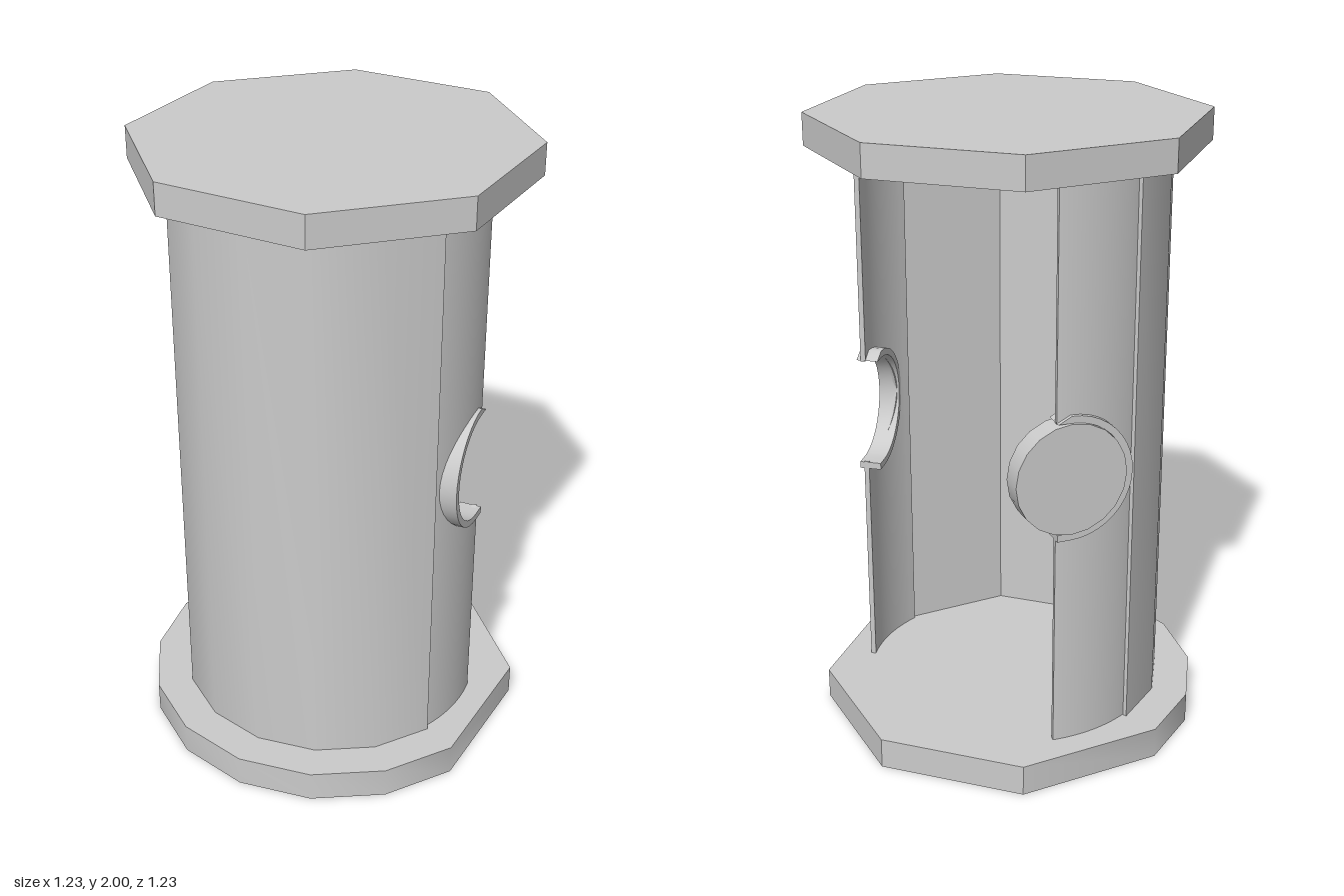
import * as THREE from 'three';
import { toCreasedNormals } from 'three/addons/utils/BufferGeometryUtils.js';

const material = new THREE.MeshStandardMaterial({ color: 0xcccccc, side: THREE.DoubleSide });
const rad = THREE.MathUtils.degToRad;
const polar = (r, deg) => new THREE.Vector2(r * Math.cos(rad(deg)), r * Math.sin(rad(deg)));

function mesh(name, geometry) {
  const m = new THREE.Mesh(geometry, material);
  m.name = name;
  return m;
}

// Upright prism from a ground plan; gentle corners are smooth, strong ones sharp
function prism(name, points, y0, y1) {
  const g = new THREE.ExtrudeGeometry(new THREE.Shape(points), { depth: y1 - y0, bevelEnabled: false });
  g.rotateX(-Math.PI / 2).translate(0, y0, 0);
  return mesh(name, toCreasedNormals(g, 0.6));
}

const DOOR_R = 0.477, HANDLE_ANGLE = rad(62.5), NOTCH_R = 0.18;
const DOOR_BOTTOM = 0.1, DOOR_TOP = 1.88;

// Curved half of a door, above (+1) or below (-1) its round notch
function doorHalf(side) {
  const x0 = -0.245, x1 = 0.042;
  const g = new THREE.BoxGeometry(x1 - x0, 1, 0.016, 24, 1, 1).translate((x0 + x1) / 2, 0, 0);
  const p = g.attributes.position;
  for (let i = 0; i < p.count; i++) {
    const u = p.getX(i);
    const notch = Math.sqrt(Math.max(0, NOTCH_R ** 2 - u * u));
    const isInner = p.getY(i) * side < 0;
    const y = isInner ? 1 + side * notch : side > 0 ? DOOR_TOP : DOOR_BOTTOM;
    const a = HANDLE_ANGLE - u / DOOR_R, r = DOOR_R + p.getZ(i);
    p.setXYZ(i, r * Math.cos(a), y, r * Math.sin(a));
  }
  return mesh(side > 0 ? 'doorUpper' : 'doorLower', toCreasedNormals(g, 0.6));
}

// Half ring lining the notch, with short tabs reaching past the door edge
function halfRing() {
  const outer = 0.2, inner = 0.178, tab = 0.042, s = new THREE.Shape();
  s.moveTo(tab, outer);
  s.absarc(0, 0, outer, Math.PI / 2, Math.PI * 1.5, false);
  s.lineTo(tab, -outer);
  s.lineTo(tab, -inner);
  s.absarc(0, 0, inner, Math.PI * 1.5, Math.PI / 2, true);
  s.lineTo(tab, inner);
  const g = new THREE.ExtrudeGeometry(s, { depth: 0.07, bevelEnabled: false, curveSegments: 10 });
  return mesh('latchRing', toCreasedNormals(g.translate(0, 0, -0.05), 0.6));
}

function createDoor(name, hasDisc) {
  const door = new THREE.Group();
  door.name = name;
  const latch = new THREE.Group();
  latch.name = 'latch';
  latch.position.set(DOOR_R * Math.cos(HANDLE_ANGLE), 1, DOOR_R * Math.sin(HANDLE_ANGLE));
  latch.rotation.y = Math.PI / 2 - HANDLE_ANGLE;
  latch.add(halfRing());
  if (hasDisc) {
    const g = new THREE.CylinderGeometry(0.178, 0.178, 0.075, 20).rotateX(Math.PI / 2);
    latch.add(mesh('latchDisc', g.translate(0, 0, -0.01)));
  }
  door.add(doorHalf(1), doorHalf(-1), latch);
  return door;
}

export function createModel() {
  const model = new THREE.Group();
  model.name = 'roundCabinet';

  // Base plate: octagonal in front of the opening, rounder behind
  const baseAngles = [-90, -45, 0, 45];
  for (let a = 90; a < 270; a += 22.5) baseAngles.push(a);
  model.add(prism('basePlate', baseAngles.map(a => polar(0.617, a)), 0, 0.1));

  // Top plate: regular octagon
  const topPoints = [];
  for (let a = 0; a < 360; a += 45) topPoints.push(polar(0.617, a));
  model.add(prism('topPlate', topPoints, 1.9, 2));

  // Fixed half wall: round outside, faceted inside
  const wall = [];
  for (let a = 90; a <= 270; a += 22.5) wall.push(polar(0.5, a));
  for (let a = 270; a >= 90; a -= 45) wall.push(polar(0.487, a));
  model.add(prism('wall', wall, 0.1, 1.9));

  // Sliding doors, the back one mirrored and carrying the disc
  const back = createDoor('backDoor', true);
  back.scale.z = -1;
  model.add(createDoor('frontDoor', false), back);
  return model;
}
